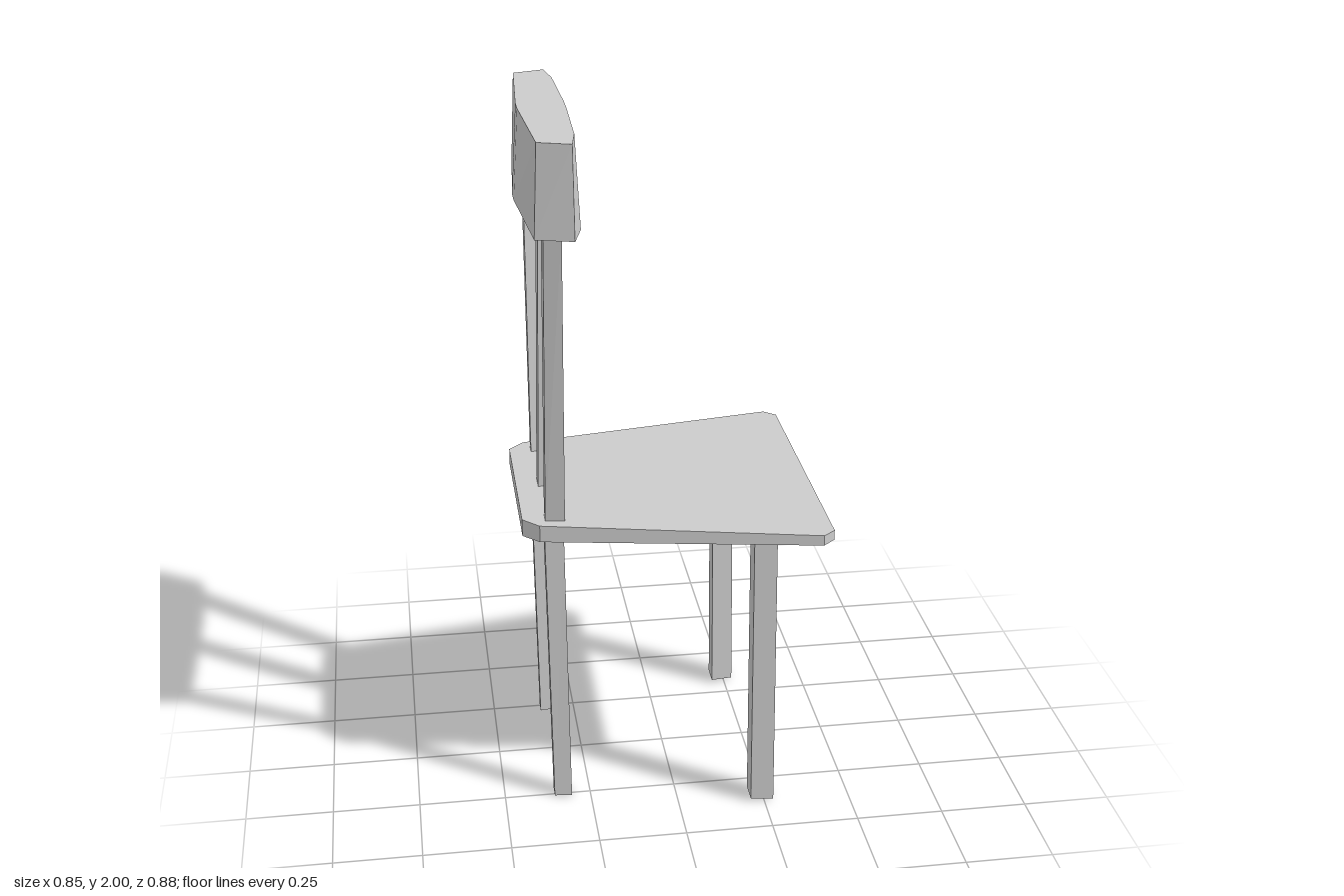
import * as THREE from 'three';

const material = new THREE.MeshStandardMaterial({ color: 0xcccccc, flatShading: true });

// Solid between two rings of [x, y, z], counter-clockwise seen from above
function loft(name, bottom, top) {
  const pos = [];
  const tri = (...pts) => pts.forEach((p) => pos.push(...p));
  const n = bottom.length;
  for (let i = 0; i < n; i++) {
    const j = (i + 1) % n;
    tri(bottom[i], bottom[j], top[j]);
    tri(bottom[i], top[j], top[i]);
    if (i > 0 && i < n - 1) {
      tri(top[0], top[i], top[j]);
      tri(bottom[0], bottom[j], bottom[i]);
    }
  }
  const geometry = new THREE.BufferGeometry();
  geometry.setAttribute('position', new THREE.Float32BufferAttribute(pos, 3));
  geometry.computeVertexNormals();
  const mesh = new THREE.Mesh(geometry, material);
  mesh.name = name;
  return mesh;
}

const flip = (ring) => ring.map(([x, y, z]) => [x, y, -z]).reverse();

// Full outline from its -z half, listed front to back
const symmetric = (half) => [...half, ...flip(half)];

// Four-sided section on the -z side; its sides run parallel to the tapering seat
const section = (y, x0, x1, inner, outer, skew) => [
  [x1, y, -inner], [x1, y, -outer], [x0, y, -outer + skew], [x0, y, -inner + skew],
];

export function createModel() {
  const model = new THREE.Group();

  // Seat: tapered board with clipped corners, a little thicker at the back
  const plan = [[0.42, 0.41], [0.385, 0.44], [-0.38, 0.288], [-0.425, 0.242]];
  const slab = (yBack, yFront) => symmetric(plan.map(([x, z]) =>
    [x, THREE.MathUtils.mapLinear(x, -0.425, 0.42, yBack, yFront), -z]));
  model.add(loft('seat', slab(0.85, 0.861), slab(0.9, 0.89)));

  // Legs and slanted back posts, mirrored across z
  const pairs = [
    ['frontLeg', section(0.01, 0.21, 0.275, 0.317, 0.38, 0.008), section(0.87, 0.205, 0.268, 0.317, 0.38, 0.008)],
    ['backLeg', section(0, -0.355, -0.305, 0.226, 0.265, 0.007), section(0.86, -0.365, -0.312, 0.226, 0.265, 0.007)],
    ['backPost', section(0.89, -0.362, -0.308, 0.224, 0.264, 0.008), section(1.77, -0.357, -0.31, 0.317, 0.376, 0.01)],
  ];
  for (const [name, bottom, top] of pairs) {
    model.add(loft(name, bottom, top));
    model.add(loft(name, flip(bottom), flip(top)));
  }

  // Upright centre post
  model.add(loft('centrePost',
    section(0.89, -0.362, -0.308, -0.03, 0.03, 0),
    section(1.77, -0.342, -0.308, -0.03, 0.03, 0)));

  // Top rail: bowed block, narrower at the top
  const rail = (y, half) => symmetric(half.map(([x, z]) => [x, y, -z]));
  model.add(loft('topRail',
    rail(1.75, [[-0.25, 0.03], [-0.255, 0.315], [-0.28, 0.415], [-0.381, 0.387], [-0.406, 0.03]]),
    rail(2, [[-0.26, 0.03], [-0.267, 0.31], [-0.282, 0.41], [-0.37, 0.38], [-0.39, 0.03]])));

  return model;
}
